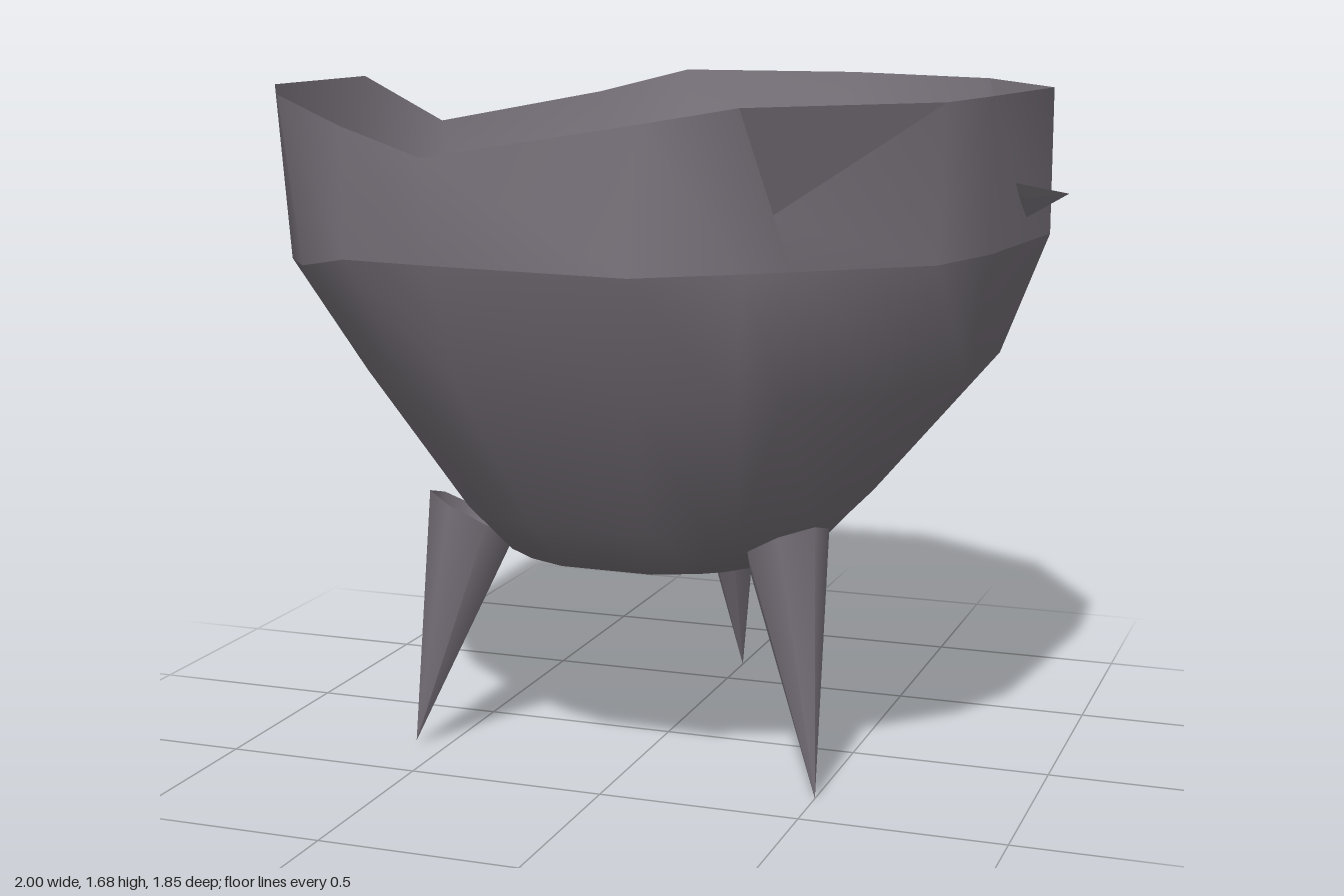
import * as THREE from 'three';

const iron = new THREE.MeshStandardMaterial({ color: 0x78727a, side: THREE.DoubleSide });
iron.name = 'dark iron';

function part(name, geometry) {
  const m = new THREE.Mesh(geometry, iron);
  m.name = name;
  return m;
}

// Joins closed rings of points, listed from top to bottom, into a smooth skin
function loft(name, rings, inward = false) {
  const n = rings[0].length, index = [];
  for (let r = 0; r < rings.length - 1; r++) {
    for (let i = 0; i < n; i++) {
      const a = r * n + i, b = r * n + (i + 1) % n;
      if (inward) index.push(a, a + n, b, b, a + n, b + n);
      else index.push(a, b, a + n, b, b + n, a + n);
    }
  }
  const g = new THREE.BufferGeometry();
  g.setAttribute('position', new THREE.Float32BufferAttribute(rings.flat(2), 3));
  g.setIndex(index);
  g.computeVertexNormals();
  return part(name, g);
}

// Flat facets from a list of corners, three per face
function facets(name, corners) {
  const g = new THREE.BufferGeometry();
  g.setAttribute('position', new THREE.Float32BufferAttribute(corners.flat(), 3));
  g.computeVertexNormals();
  return part(name, g);
}

// Tetrahedral splinter
const shard = (name, a, b, c, d) => facets(name, [a, b, c, a, c, d, a, d, b, b, d, c]);

// Broken rim, clockwise from above
const rim = [
  [0.92, 1.68, -0.24], [0.86, 1.68, 0.24], [0.82, 1.68, 0.5], [0.49, 1.44, 0.74],
  [0.46, 1.68, 0.86], [0.23, 1.64, 0.86], [-0.26, 1.56, 0.89], [-0.49, 1.62, 0.82],
  [-0.71, 1.68, 0.7], [-0.96, 1.68, 0.26], [-0.96, 1.68, -0.24], [-0.83, 1.55, -0.45],
  [-0.49, 1.62, -0.8], [-0.27, 1.68, -0.93], [0.23, 1.68, -0.93], [0.67, 1.68, -0.67],
  [0.82, 1.46, -0.26],
];
// Shoulder line under the rim
const shoulder = [
  [0.92, 1.32, -0.24], [0.87, 1.32, 0.24], [0.8, 1.32, 0.48], [0.53, 1.32, 0.7],
  [0.44, 1.32, 0.77], [0.23, 1.32, 0.92], [-0.26, 1.32, 0.86], [-0.49, 1.32, 0.82],
  [-0.68, 1.28, 0.66], [-0.93, 1.24, 0.25], [-0.93, 1.24, -0.24], [-0.82, 1.29, -0.46],
  [-0.48, 1.32, -0.8], [-0.25, 1.32, -0.92], [0.23, 1.32, -0.92], [0.67, 1.32, -0.67],
  [0.88, 1.32, -0.31],
];

// Ring below the shoulder: radius may depend on the direction (x, z)
function ring(y, radius) {
  return shoulder.map(([x, , z]) => {
    const l = Math.hypot(x, z), r = radius(x / l, z / l);
    return [x / l * r, y, z / l * r];
  });
}

// Spike leg with a slanted oval top, centred at the given radius under the bowl
function leg(name, tip, radius) {
  const l = Math.hypot(tip[0], tip[2]), dx = tip[0] / l, dz = tip[2] / l;
  const top = [], foot = [], n = 7;
  for (let i = 0; i < n; i++) {
    const a = i / n * Math.PI * 2, c = Math.cos(a), s = Math.sin(a) * 0.1;
    const r = radius + 0.11 * c;
    top.push([dx * r - dz * s, 0.61 + 0.06 * c, dz * r + dx * s]);
    foot.push(tip);
  }
  return loft(name, [top, foot]);
}

export function createModel() {
  const group = new THREE.Group();
  group.name = 'cauldron';

  // Outer walls, the bowl rounding into its bottom
  const belly = (x, z) =>
    0.78 + 0.07 * Math.max(0, x) + 0.02 * Math.max(0, z) - 0.05 * Math.max(0, -z);
  group.add(loft('rimBand', [rim, shoulder]));
  group.add(loft('bowl', [
    shoulder, ring(1.02, belly), ring(0.66, (x, z) => 0.53 + 0.02 * z),
    ring(0.54, (x, z) => 0.41 + 0.03 * z), ring(0.54, () => 0),
  ]));

  // Inside
  group.add(loft('bowlInside', [
    rim, shoulder.map(([x, y, z]) => [x * 0.91, y, z * 0.91]),
    ring(1.02, (x, z) => belly(x, z) - 0.07),
    ring(0.74, () => 0.5), ring(0.62, () => 0.32), ring(0.59, () => 0),
  ], true));

  // Bent flaps behind the two notches
  group.add(facets('frontNotchFlap', [rim[2], rim[4], rim[3]]));
  group.add(facets('sideNotchFlap', [rim[15], rim[0], rim[16]]));

  // Legs
  group.add(leg('rightLeg', [-0.58, 0.01, 0.31], 0.5));
  group.add(leg('leftLeg', [0.5, 0, 0.355], 0.49));
  group.add(leg('backLeg', [0.01, 0.01, -0.61], 0.46));

  // Remains of the handles
  group.add(shard('rightHandleStub',
    [-0.985, 1.45, 0.03], [-1, 1.11, -0.18], [-0.94, 1.07, -0.02], [-0.94, 1.13, 0.1]));
  group.add(shard('leftHandleStub',
    [0.88, 1.47, 0.05], [1, 1.44, -0.03], [0.9, 1.38, -0.03], [0.9, 1.43, 0.01]));
  return group;
}
